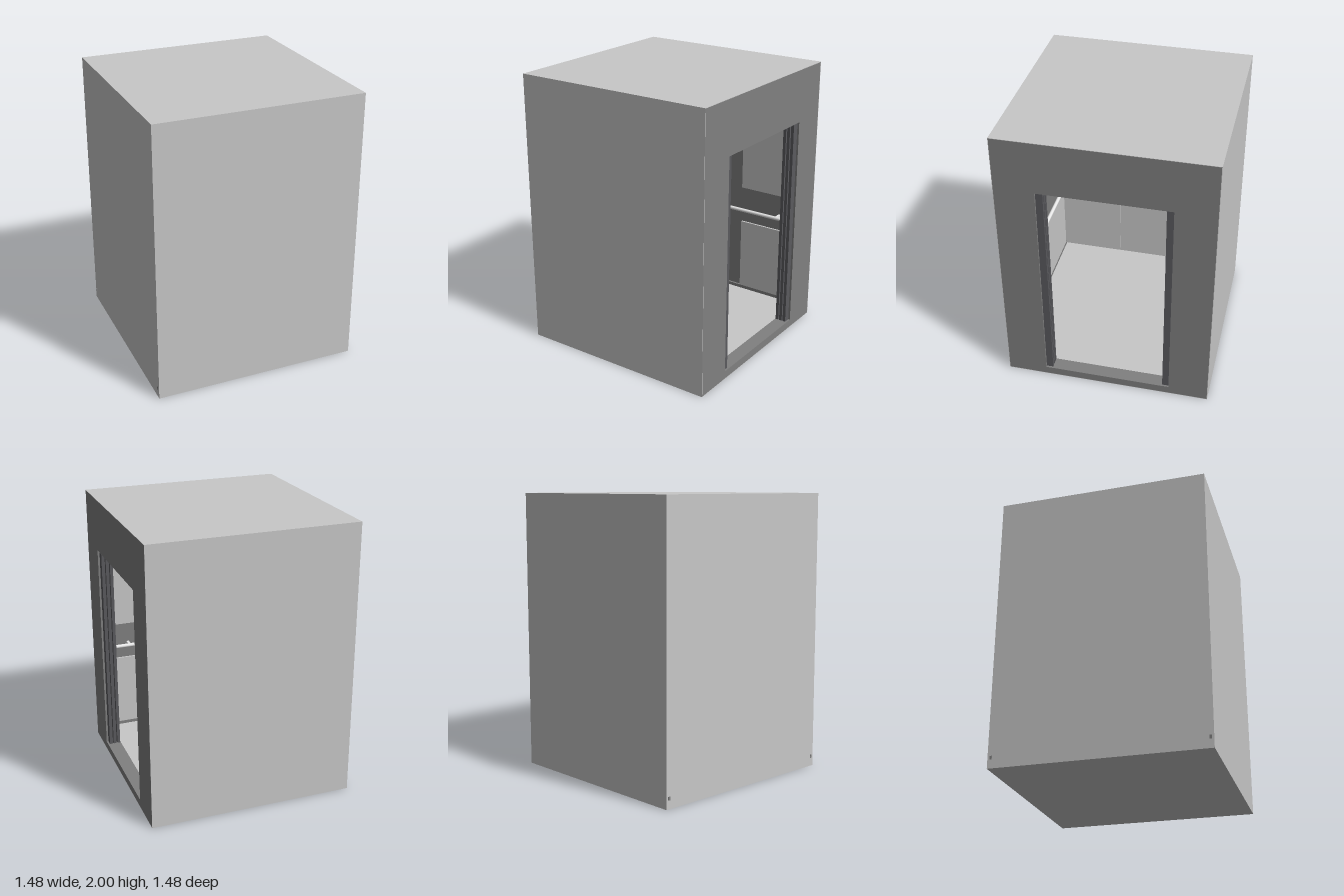
import * as THREE from 'three';

const material = (name, color) => {
  const m = new THREE.MeshStandardMaterial({ color });
  m.name = name;
  return m;
};

export function createModel() {
  const cabin = new THREE.Group();
  cabin.name = 'liftCabin';
  const light = material('light grey', 0xc8c8c8);
  const dark = material('mid grey', 0x808080);
  const door = material('dark door grey', 0x5a5a5e);
  const steel = material('bright steel', 0xe8e8e8);

  const add = (name, geometry, mat) => {
    const mesh = new THREE.Mesh(geometry, mat);
    mesh.name = name;
    cabin.add(mesh);
    return mesh;
  };
  // Box given by its minimum and maximum on each axis
  const box = (name, mat, x0, x1, y0, y1, z0, z1) =>
    add(name, new THREE.BoxGeometry(x1 - x0, y1 - y0, z1 - z0), mat)
      .position.set((x0 + x1) / 2, (y0 + y1) / 2, (z0 + z1) / 2);
  // Box on a side wall: depths a < b are measured outwards along z
  const sideBox = (name, mat, s, x0, x1, y0, y1, a, b) =>
    box(name, mat, x0, x1, y0, y1, Math.min(s * a, s * b), Math.max(s * a, s * b));

  // Floor, roof and back wall
  box('floor', light, -0.74, 0.64, 0, 0.06, -0.74, 0.74);
  box('basePlate', light, 0.64, 0.74, 0, 0.003, -0.74, 0.74);
  box('roof', light, -0.74, 0.64, 1.94, 2, -0.74, 0.74);
  box('roofEdge', light, 0.64, 0.74, 1.997, 2, -0.74, 0.74);
  box('backWall', light, -0.74, -0.725, 0.06, 1.94, -0.74, 0.74);

  // Three abutting panels on the back wall, with narrow joints
  for (const [z0, z1] of [[-0.705, -0.245], [-0.235, 0.233], [0.237, 0.705]]) {
    box('backPanel', light, -0.725, -0.71, 0.085, 1.94, z0, z1);
  }

  // Entrance wall with the doorway cut out
  const shape = new THREE.Shape();
  shape.moveTo(-0.737, 0.003).lineTo(0.737, 0.003).lineTo(0.737, 1.997).lineTo(-0.737, 1.997);
  const doorway = new THREE.Path();
  doorway.moveTo(-0.457, 0.06).lineTo(-0.457, 1.62).lineTo(0.457, 1.62).lineTo(0.457, 0.06);
  shape.holes.push(doorway);
  const entrance = new THREE.ExtrudeGeometry(shape, { depth: 0.1, bevelEnabled: false });
  entrance.rotateY(Math.PI / 2);
  add('entranceWall', entrance, dark).position.x = 0.64;

  for (const s of [-1, 1]) {
    // Outer skin, inner lining and skirting
    sideBox('sideWall', light, s, -0.74, 0.74, 0, 2, 0.737, 0.74);
    sideBox('sideLining', dark, s, -0.725, 0.64, 0.06, 1.94, 0.725, 0.737);
    sideBox('skirting', dark, s, -0.743, 0.64, 0.06, 0.085, 0.71, 0.725);

    // Upper and lower panels; the far wall has a bare strip in the middle
    const spans = s > 0 ? [[-0.7, 0.63]] : [[-0.7, -0.134], [0.134, 0.63]];
    for (const [x0, x1] of spans) {
      sideBox('lowerPanel', light, s, x0, x1, 0.085, 0.64, 0.71, 0.725);
      sideBox('upperPanel', light, s, x0, x1, 0.925, 1.94, 0.71, 0.725);
    }

    // Handrail on brackets
    const rail = new THREE.CylinderGeometry(0.014, 0.014, 1.24, 20).rotateZ(Math.PI / 2);
    add('handrail', rail, steel).position.set(-0.04, 0.76, s * 0.66);
    for (const x of [-0.55, -0.04, 0.47]) {
      sideBox('railBracket', steel, s, x - 0.01, x + 0.01, 0.75, 0.77, 0.66, 0.725);
    }

    // Retracted sliding door leaves, with grooves between them
    for (const x of [0.655, 0.685, 0.715]) {
      sideBox('doorLeaf', door, s, x - 0.011, x + 0.011, 0.06, 1.62, 0.408, 0.457);
    }
    sideBox('doorPocket', door, s, 0.65, 0.72, 0.06, 1.62, 0.435, 0.457);
  }

  return cabin;
}
